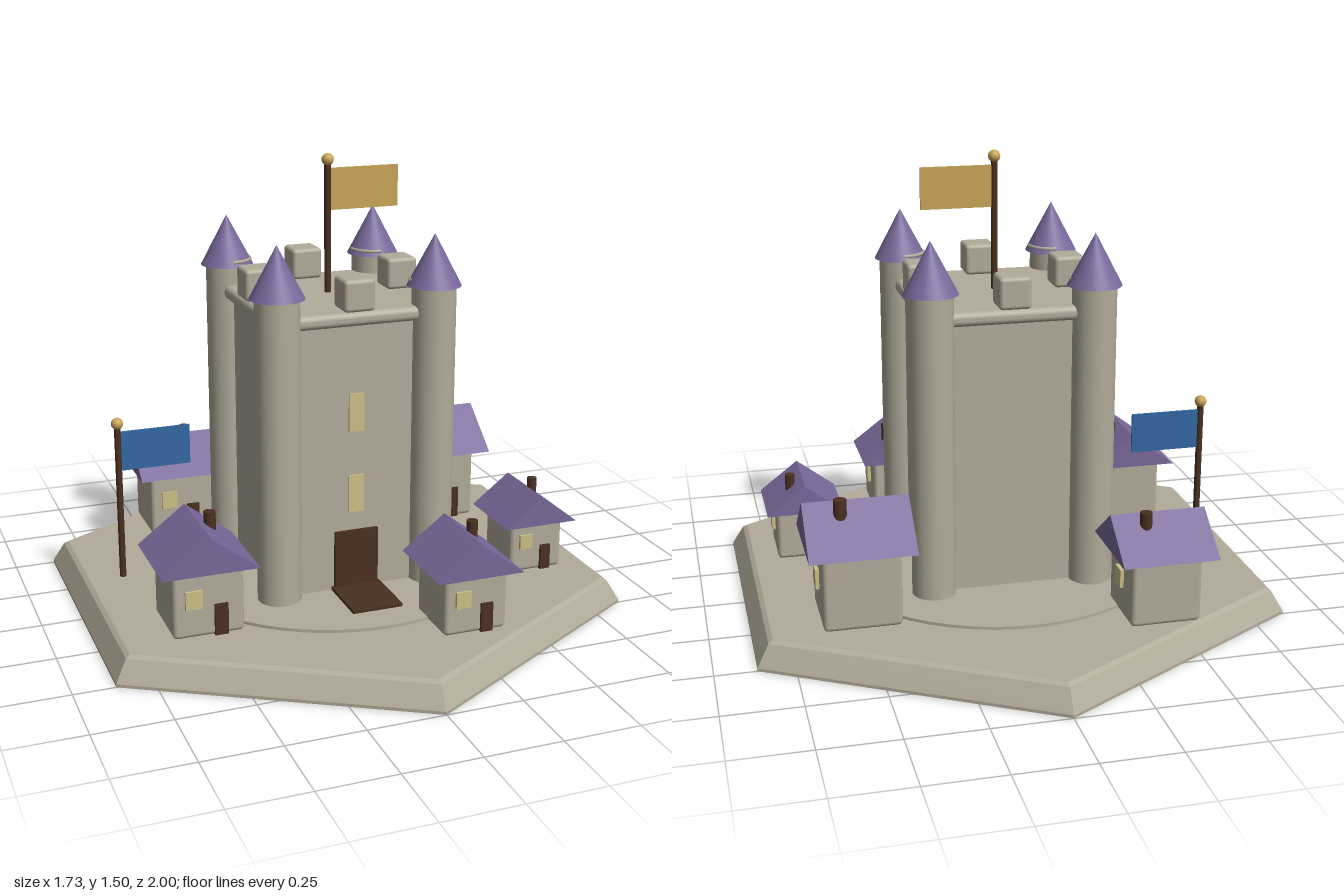
import * as THREE from 'three';
import { RoundedBoxGeometry } from 'three/addons/geometries/RoundedBoxGeometry.js';

const mat = (name, color, side = THREE.FrontSide) =>
  new THREE.MeshStandardMaterial({ name, color, side });

export function createModel() {
  const stone = mat('stone', 0xb3ab9a);
  const roofPurple = mat('roof purple', 0x7a689b);
  const wood = mat('dark wood', 0x4a3020);
  const glow = mat('window yellow', 0xcdbd85);
  const gold = mat('gold', 0xc9a557);
  const blue = mat('flag blue', 0x3268a4);

  const model = new THREE.Group();
  model.name = 'castleVillage';

  const add = (parent, name, geometry, material, x = 0, y = 0, z = 0) => {
    const mesh = new THREE.Mesh(geometry, material);
    mesh.name = name;
    mesh.position.set(x, y, z);
    parent.add(mesh);
    return mesh;
  };
  const group = (name, x = 0, y = 0, z = 0) => {
    const g = new THREE.Group();
    g.name = name;
    g.position.set(x, y, z);
    model.add(g);
    return g;
  };
  const box = (w, h, d) => new THREE.BoxGeometry(w, h, d);
  const rounded = (w, h, d, r) => new RoundedBoxGeometry(w, h, d, 3, r);

  // Hexagonal base with sloped, bevelled rim
  const groundY = 0.087;
  const rim = [[0, 0], [1, 0], [1, 0.01], [0.957, 0.078], [0.94, groundY], [0, groundY]]
    .map(([r, y]) => new THREE.Vector2(r, y));
  const baseGeometry = new THREE.LatheGeometry(rim, 6).toNonIndexed();
  baseGeometry.computeVertexNormals();
  add(model, 'hexagonBase', baseGeometry, stone);

  // Round courtyard
  add(model, 'courtyard', new THREE.CylinderGeometry(0.58, 0.58, 0.012, 64), stone, 0, 0.091, 0);

  // Keep with parapet and merlons
  const keep = group('keep');
  const wall = 0.265;
  add(keep, 'keepBody', box(wall * 2, 0.92, wall * 2), stone, 0, 0.55, 0);
  add(keep, 'parapet', rounded(0.59, 0.047, 0.59, 0.02), stone, 0, 1.018, 0);
  for (const [x, z] of [[0, 1], [0, -1], [1, 0], [-1, 0]]) {
    add(keep, 'merlon', rounded(0.104, 0.104, 0.104, 0.013), stone, x * 0.246, 1.094, z * 0.246);
  }

  // Gate, drawbridge and keep windows
  add(keep, 'gate', box(0.15, 0.205, 0.02), wood, 0, 0.198, wall + 0.002);
  add(keep, 'drawbridge', box(0.17, 0.012, 0.2), wood, 0, 0.102, 0.365);
  for (const y of [0.428, 0.705]) {
    add(keep, 'frontWindow', box(0.052, 0.127, 0.014), glow, 0, y, wall);
    add(keep, 'sideWindow', box(0.014, 0.127, 0.052), glow, wall, y, 0);
  }

  // Corner towers
  for (const sx of [-1, 1]) for (const sz of [-1, 1]) {
    const tower = group('tower', sx * 0.265, 0, sz * 0.265);
    add(tower, 'towerShaft', new THREE.CylinderGeometry(0.072, 0.072, 1.01, 32), stone, 0, 0.6, 0);
    add(tower, 'towerRoof', new THREE.ConeGeometry(0.088, 0.168, 32), roofPurple, 0, 1.186, 0);
    // Thin stone arc on the side towards the keep
    const arc = new THREE.TorusGeometry(0.077, 0.006, 8, 16, Math.PI / 2);
    arc.rotateZ(-Math.PI / 4).rotateX(Math.PI / 2);
    add(tower, 'towerTrim', arc, stone, 0, 1.12, 0).rotation.y = Math.atan2(sz, -sx);
  }

  // Flags on poles
  const flagpole = (name, x, z, bottom, top, radius, cloth, flagY, flagH) => {
    const g = group(name, x, 0, z);
    add(g, 'pole', new THREE.CylinderGeometry(radius, radius, top - bottom, 16), wood, 0, (top + bottom) / 2, 0);
    add(g, 'finial', new THREE.SphereGeometry(0.02, 20, 14), gold, 0, top, 0);
    add(g, 'flag', box(0.235, flagH, 0.008), cloth, 0.127, flagY, 0);
  };
  flagpole('keepFlag', 0, 0, 1.03, 1.48, 0.011, gold, 1.383, 0.137);
  flagpole('villageFlag', -0.7, -0.106, 0.085, 0.63, 0.011, blue, 0.533, 0.135);

  // Cottages: centre x, z, wall width, wall height, roof height, ridge along x
  const cottages = [
    [-0.403, -0.535, 0.23, 0.22, 0.118, true],
    [0.528, -0.34, 0.25, 0.252, 0.138, true],
    [0.637, 0.231, 0.192, 0.172, 0.1, false],
    [0.235, 0.59, 0.212, 0.196, 0.108, false],
    [-0.55, 0.315, 0.23, 0.22, 0.118, false],
  ];
  for (const [x, z, w, h, rise, ridgeAlongX] of cottages) {
    const house = group('cottage', x, groundY, z);
    add(house, 'walls', rounded(w, h + 0.004, w, 0.015), stone, 0, h / 2, 0);

    // Gabled roof
    const span = w * 1.36;
    const gable = new THREE.Shape();
    gable.moveTo(-span / 2, 0);
    gable.lineTo(span / 2, 0);
    gable.lineTo(0, rise);
    gable.closePath();
    const roof = new THREE.ExtrudeGeometry(gable, { depth: span, bevelEnabled: false });
    roof.translate(0, 0, -span / 2);
    if (ridgeAlongX) roof.rotateY(Math.PI / 2);
    add(house, 'roof', roof, roofPurple, 0, h, 0);

    // Chimney, door and windows
    add(house, 'chimney', new THREE.CylinderGeometry(w * 0.085, w * 0.085, rise * 0.65, 16), wood,
      w * 0.215, h + rise * 0.79, -w * 0.15);
    add(house, 'door', box(w * 0.19, w * 0.45, 0.018), wood, w * 0.165, w * 0.225, w / 2);
    add(house, 'frontWindow', box(w * 0.24, w * 0.26, 0.018), glow, -w * 0.215, w * 0.555, w / 2);
    add(house, 'sideWindow', box(0.02, w * 0.26, w * 0.23), glow, w / 2 + 0.002, w * 0.555, 0);
  }

  return model;
}
